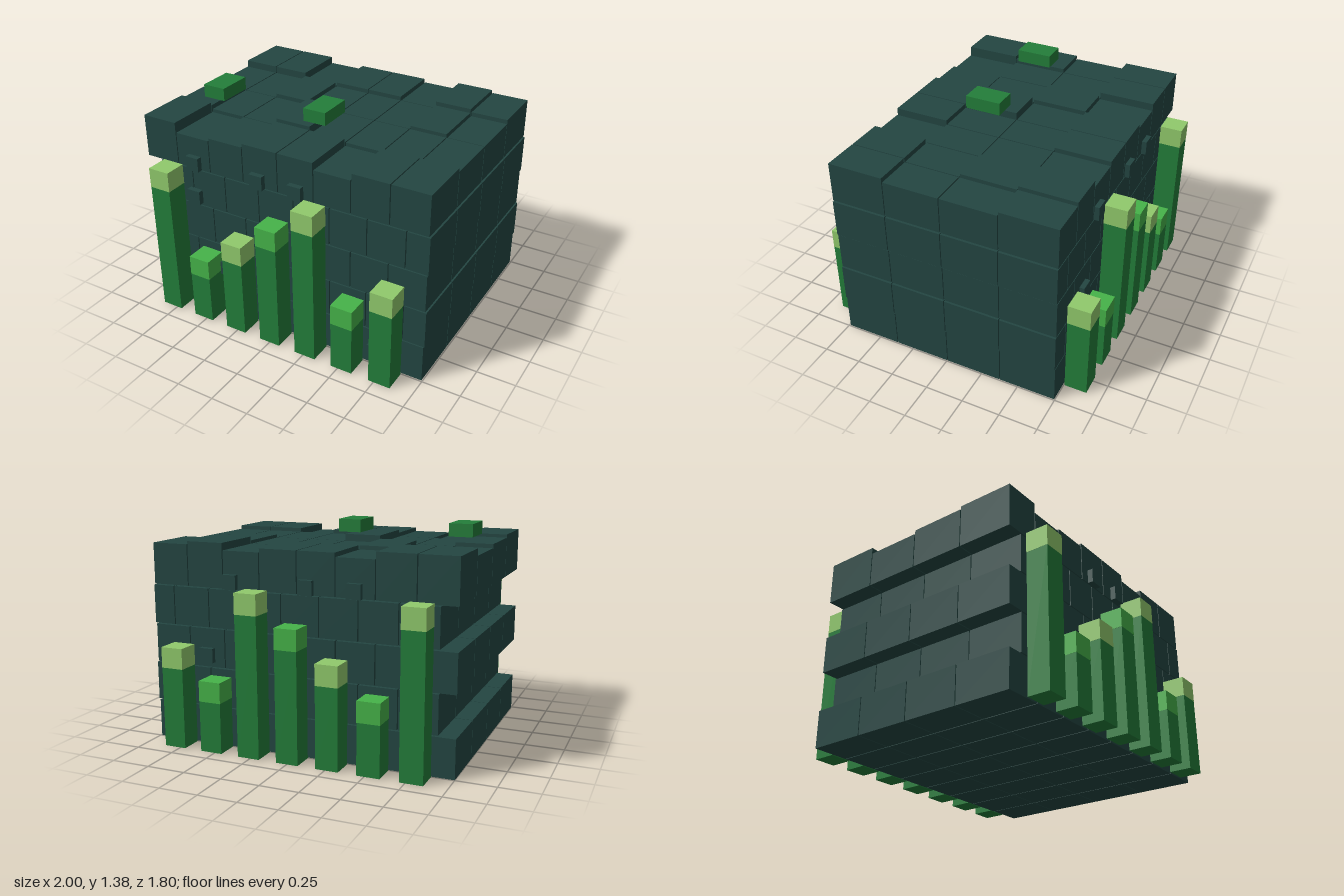
import * as THREE from 'three';

const mat = (name, color) => {
  const m = new THREE.MeshStandardMaterial({ color });
  m.name = name;
  return m;
};

export function createModel() {
  const stone = mat('dark stone', 0x234642);
  const green = mat('stem green', 0x237e3a);
  const mid = mat('mid green', 0x46b349);
  const light = mat('light green', 0x91ca6c);

  const root = new THREE.Group();
  root.name = 'brickBlock';
  const group = (name) => {
    const g = new THREE.Group();
    g.name = name;
    root.add(g);
    return g;
  };
  // Box given by its minimum and maximum corners
  const box = (parent, name, material, x0, x1, y0, y1, z0, z1) => {
    const m = new THREE.Mesh(new THREE.BoxGeometry(x1 - x0, y1 - y0, z1 - z0), material);
    m.position.set((x0 + x1) / 2, (y0 + y1) / 2, (z0 + z1) / 2);
    m.name = name;
    parent.add(m);
  };

  // Brick courses in running bond; the top course has uneven heights
  const bricks = group('bricks');
  const topHeights = [
    [1.295, 1.295, 1.25, 1.275, 1.275, 1.25, 1.295, 1.275],
    [1.25, 1.25, 1.275, 1.25, 1.25, 1.25, 1.27, 1.25],
    [1.275, 1.25, 1.25, 1.295, 1.25, 1.25, 1.25, 1.25],
    [1.295, 1.23, 1.25, 1.275, 1.275, 1.23, 1.275, 1.275],
  ];
  const pitch = 0.2535;
  for (let row = 0; row < 5; row++) {
    for (let d = 0; d < 4; d++) {
      for (let c = 0; c < 8; c++) {
        const x0 = -1 + c * 0.25 + (row % 2 ? 0.107 : 0);
        const x1 = Math.min(x0 + 0.243, 1);
        const y0 = row * pitch;
        const y1 = row === 4 ? topHeights[d][c] : y0 + 0.246;
        const z0 = -0.745 + d * 0.373;
        box(bricks, 'brick', stone, x0, x1, y0, y1, z0, z0 + 0.367);
      }
    }
  }

  // Small stones standing out of the front and back walls
  const studs = group('studs');
  const front = [[-0.617, 1.06], [-0.14, 1.06], [0.133, 1.06], [-0.625, 0.825],
    [-0.44, 0.345], [0.7, 0.345], [0.68, 0.105]];
  const back = [[0.44, 1.06], [-0.07, 1.06], [-0.38, 1.06], [0.615, 0.585],
    [-0.22, 0.345], [0.245, 0.6]];
  for (const [side, list] of [[1, front], [-1, back]]) {
    for (const [x, y] of list) {
      const z = side * 0.745;
      box(studs, 'stud', stone, x - 0.046, x + 0.046, y - 0.046, y + 0.046, z - 0.032, z + 0.032);
    }
  }

  // Stems with alternating bright tips along the front and back
  const stems = group('stems');
  [1.025, 0.455, 0.645, 0.835, 1.025, 0.455, 0.645].forEach((h, i) => {
    const x = (i - 3) * 0.2622;
    for (const z of [0.8275, -0.8275]) {
      const w = 0.0725, t = 0.0735;
      box(stems, 'stem', green, x - w, x + w, 0, h - 0.132, z - w, z + w);
      box(stems, 'stemTip', i % 2 ? mid : light, x - t, x + t, h - 0.132, h, z - t, z + t);
    }
  });

  // Moss slabs on top
  const moss = group('mossSlabs');
  for (const x of [-0.768, -0.002]) {
    box(moss, 'mossSlab', green, x - 0.079, x + 0.079, 1.3, 1.385, 0.08, 0.32);
  }
  return root;
}
